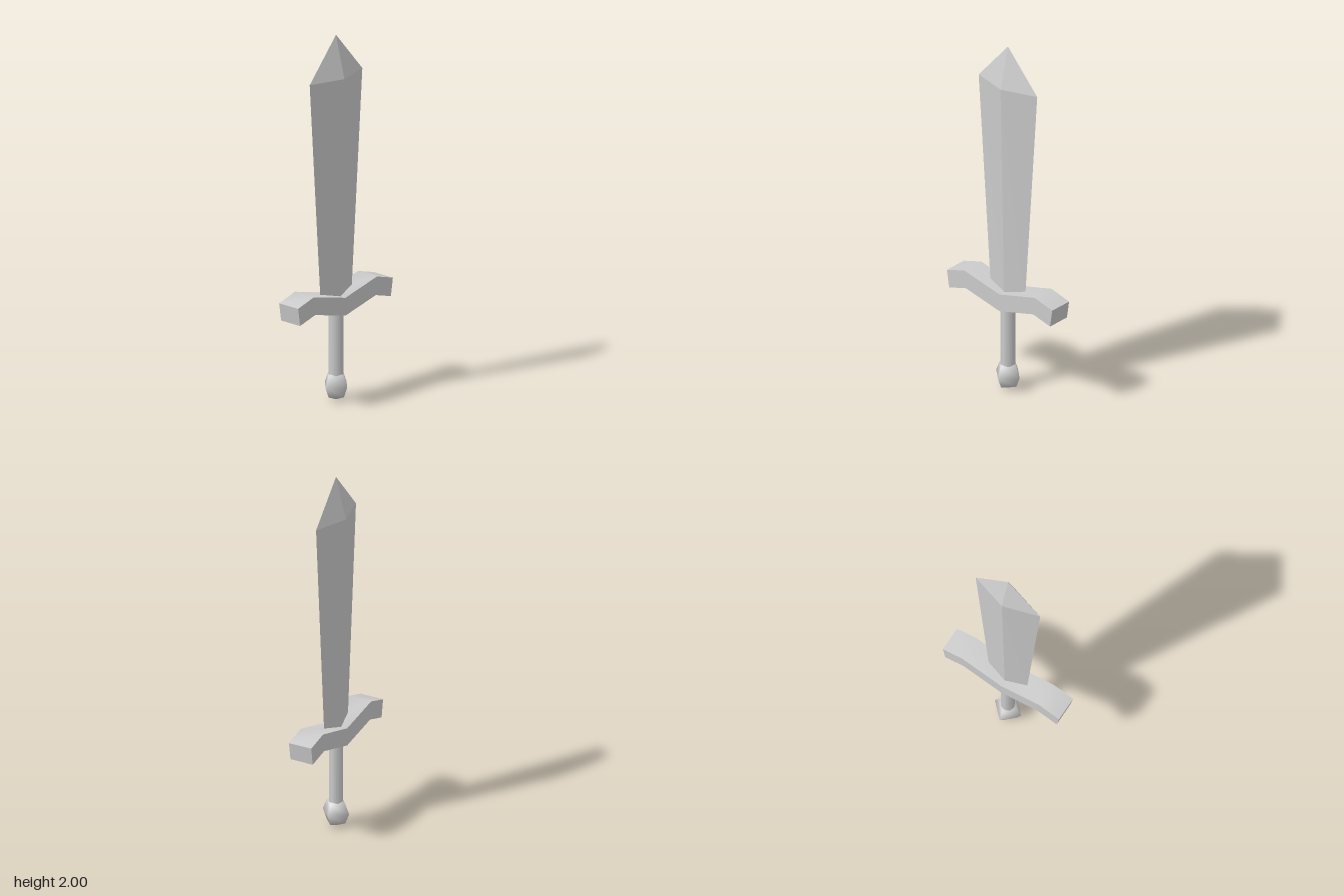
import * as THREE from 'three';
import { toCreasedNormals } from 'three/addons/utils/BufferGeometryUtils.js';

const smooth = new THREE.MeshStandardMaterial({ color: 0xcccccc });
const faceted = new THREE.MeshStandardMaterial({ color: 0xcccccc, flatShading: true });

function part(name, geometry, material, y = 0) {
  const mesh = new THREE.Mesh(geometry, material);
  mesh.name = name;
  mesh.position.y = y;
  return mesh;
}

// Four-sided blade, widening towards the shoulder and closing to a point;
// the lathe radius is the half width along z, then x is thinned to a diamond
function bladeGeometry() {
  const profile = [[0, 0.54], [0.116, 0.54], [0.2, 1.77], [0, 2]];
  const geo = new THREE.LatheGeometry(profile.map(p => new THREE.Vector2(...p)), 4);
  const pos = geo.attributes.position;
  for (let i = 0; i < pos.count; i++) {
    pos.setX(i, pos.getX(i) * (pos.getY(i) < 1 ? 0.265 : 0.3));
  }
  return geo;
}

// Bent crossguard: half outline mirrored in z, extruded across x
function guardGeometry() {
  const bottom = [[0, 0.474], [0.23, 0.532], [0.345, 0.499]];
  const top = [[0.36, 0.597], [0.24, 0.632], [0, 0.572]];
  const half = [...bottom, ...top];
  const mirrored = half.slice(1, -1).reverse().map(([z, y]) => [-z, y]);
  const shape = new THREE.Shape([...half, ...mirrored].map(p => new THREE.Vector2(...p)));
  const width = 0.136;
  const geo = new THREE.ExtrudeGeometry(shape, { depth: width, bevelEnabled: false });
  geo.translate(0, 0, -width / 2);
  geo.rotateY(-Math.PI / 2);
  return toCreasedNormals(geo, 0.7);
}

export function createModel() {
  const group = new THREE.Group();
  group.name = 'sword';
  group.add(
    part('blade', bladeGeometry(), faceted),
    part('crossguard', guardGeometry(), smooth),
    part('grip', new THREE.CylinderGeometry(0.038, 0.038, 0.42, 8), smooth, 0.31),
    part('pommel', new THREE.SphereGeometry(0.08, 4, 4), smooth, 0.08),
  );
  return group;
}
